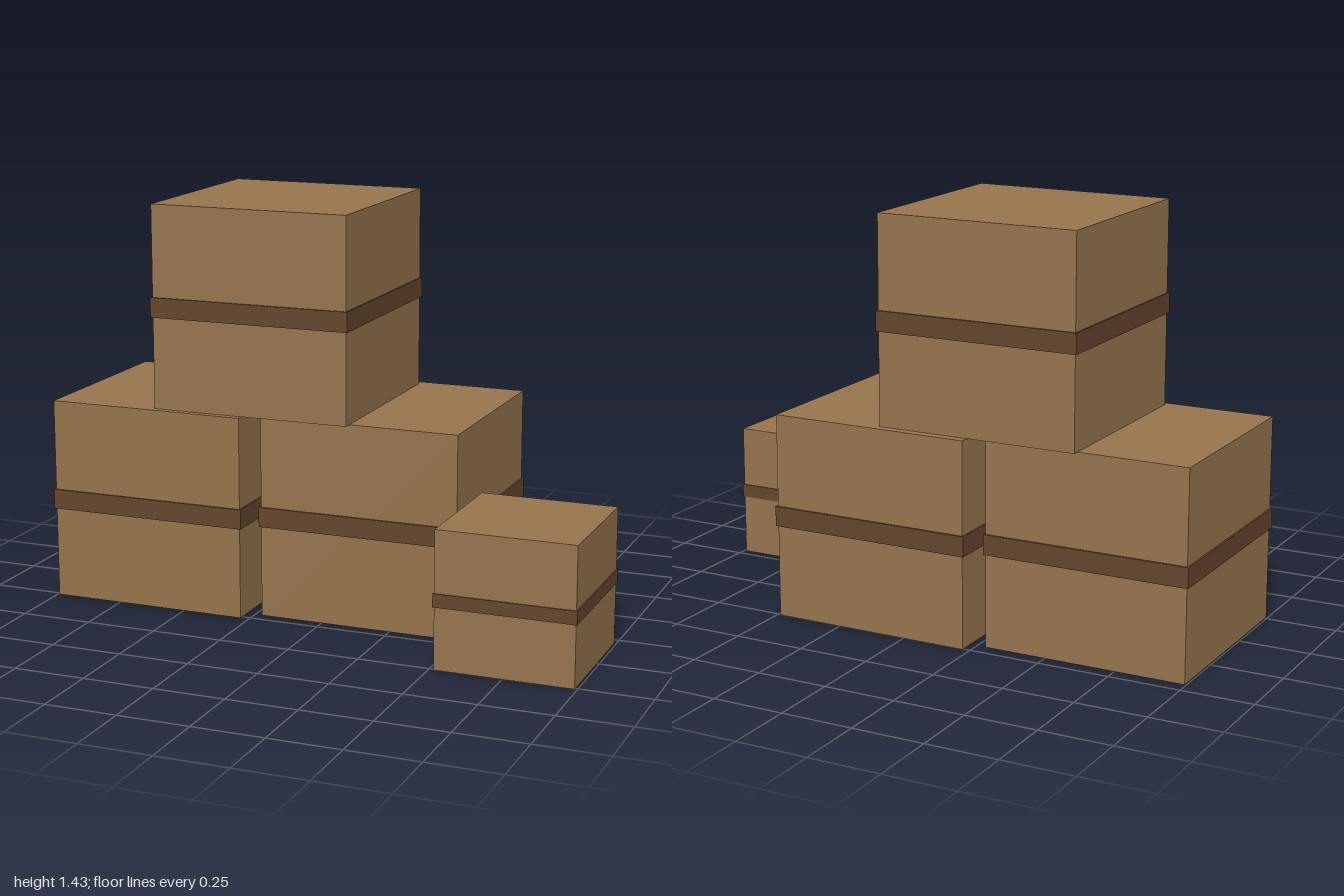
import * as THREE from 'three';

export function createModel() {
  const group = new THREE.Group();
  group.name = 'crateStack';

  const cardboard = new THREE.MeshStandardMaterial({ color: 0x96754d });
  cardboard.name = 'cardboard brown';
  const strap = new THREE.MeshStandardMaterial({ color: 0x65452d });
  strap.name = 'dark strap brown';

  // A cube with a slightly wider strap around its middle; y is its underside
  function addCrate(name, size, x, y, z) {
    const crate = new THREE.Group();
    crate.name = name;
    crate.position.set(x, y + size / 2, z);

    const body = new THREE.Mesh(new THREE.BoxGeometry(size, size, size), cardboard);
    body.name = 'crateBody';
    const width = size * 1.018;
    const band = new THREE.Mesh(new THREE.BoxGeometry(width, size * 0.098, width), strap);
    band.name = 'crateStrap';

    crate.add(body, band);
    group.add(crate);
  }

  const large = 0.713;
  addCrate('rightCrate', large, -0.638, 0, -0.094);
  addCrate('middleCrate', large, 0.132, 0, -0.149);
  addCrate('topCrate', large, -0.254, large, -0.118);
  addCrate('smallCrate', 0.475, 0.754, 0, 0.27);

  return group;
}
